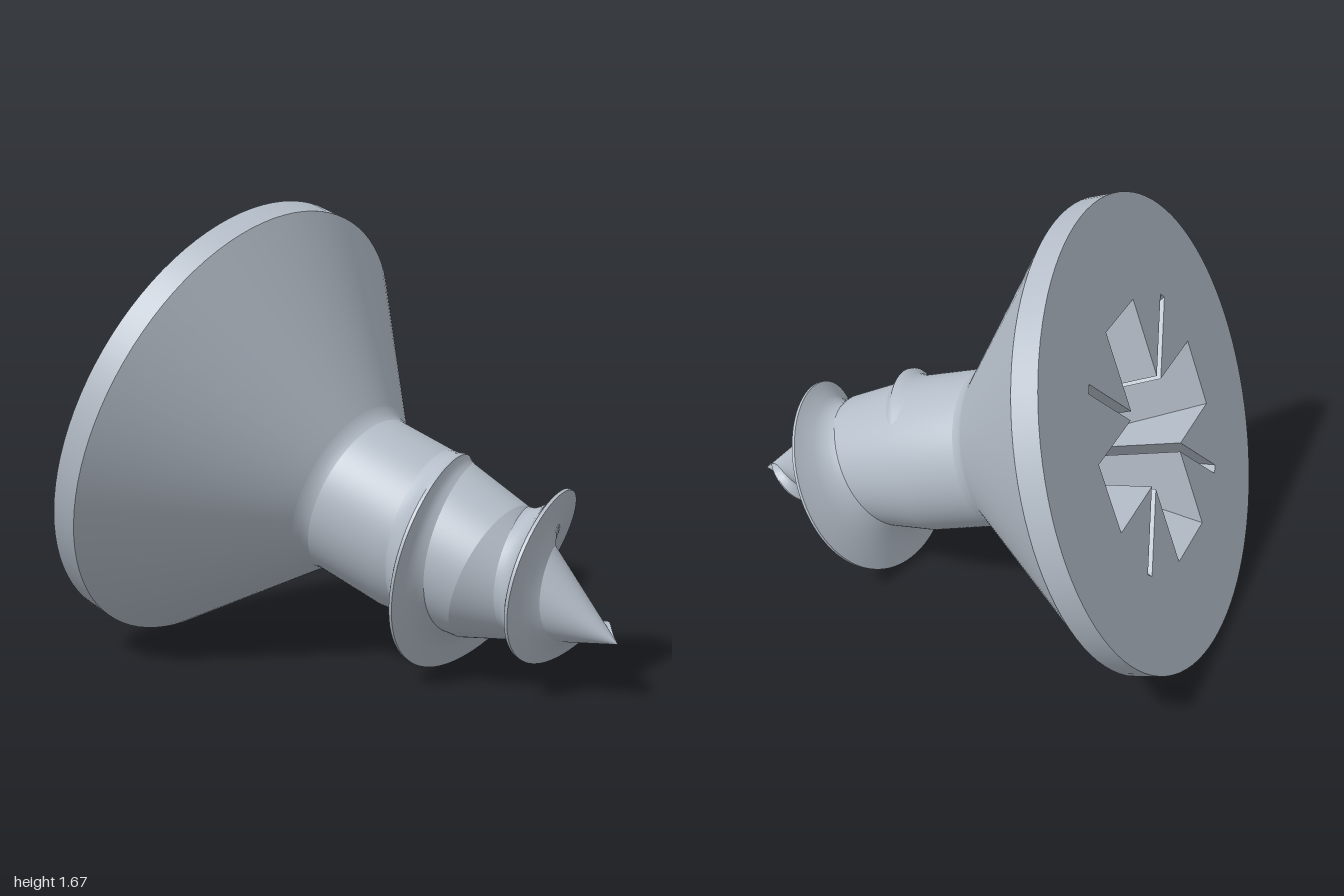
import * as THREE from 'three';
import { toCreasedNormals } from 'three/addons/utils/BufferGeometryUtils.js';

// Local frame: +z points out of the head face, the screw runs along -z.
const steel = new THREE.MeshStandardMaterial({ color: 0xb4bdc8 });
steel.name = 'steel';

const HEAD_R = 0.877, SHANK_R = 0.305, LENGTH = 1.797, TAPER = 0.97, POINT = 1.28, POINT_R = 0.26;

// Turned part from [radius, distance from head face] pairs
function turned(name, profile) {
  const geo = new THREE.LatheGeometry(profile.map(([r, t]) => new THREE.Vector2(r, t)), 96);
  geo.rotateX(-Math.PI / 2);
  const mesh = new THREE.Mesh(geo, steel);
  mesh.name = name;
  return mesh;
}

// Builds a mesh from equal cross-section rows
function loft(name, rows, closed, crease) {
  const n = rows[0].length, index = [];
  for (let i = 0; i < rows.length - 1; i++) {
    for (let j = 0; j < (closed ? n : n - 1); j++) {
      const k = (j + 1) % n, a = i * n + j, b = a + n, c = i * n + k, d = c + n;
      index.push(a, b, c, b, d, c);
    }
  }
  const geo = new THREE.BufferGeometry();
  geo.setAttribute('position', new THREE.Float32BufferAttribute(rows.flat(2), 3));
  geo.setIndex(index);
  const mesh = new THREE.Mesh(toCreasedNormals(geo, crease), steel);
  mesh.name = name;
  return mesh;
}

// Cross outline with a thin slit in every inner corner (counter-clockwise)
function recessOutline(arm, half, slit) {
  const h = 0.012, pts = [];
  const quarter = [[arm, -half], [arm, half], [half + 2 * h, half],
    [slit + h, slit - h], [slit - h, slit + h], [half, half + 2 * h]];
  for (let q = 0; q < 4; q++) {
    const c = Math.round(Math.cos(q * Math.PI / 2)), s = Math.round(Math.sin(q * Math.PI / 2));
    for (const [x, y] of quarter) pts.push(new THREE.Vector2(c * x - s * y, s * x + c * y));
  }
  return pts;
}

// Core radius of the shank at distance t
function coreRadius(t) {
  if (t < TAPER) return SHANK_R;
  if (t < POINT) return THREE.MathUtils.mapLinear(t, TAPER, POINT, SHANK_R, POINT_R);
  return Math.max(0, THREE.MathUtils.mapLinear(t, POINT, LENGTH, POINT_R, 0));
}

function createThread() {
  // Rim radius at every quarter turn, starting a quarter before the top
  const radii = [0.285, 0.326, 0.375, 0.437, 0.445, 0.348, 0.262, 0.18, 0.09, 0.008];
  const curve = new THREE.SplineCurve(radii.map((r, i) => new THREE.Vector2(i, r)));
  const steps = 180, turns = (radii.length - 1) / 4, rows = [];
  for (let i = 0; i <= steps; i++) {
    const u = -0.25 + turns * i / steps, t = 1.007 + 0.39 * u;
    const rim = curve.getPoint(i / steps).y;
    const fade = Math.min(1, (2.1 - u) / 0.8), a = 2 * Math.PI * u;
    // [offset along the axis, share of the height from core to rim]
    const section = [[-0.1, 0], [-0.07, 0.15], [-0.035, 0.5], [-0.006, 1],
      [0.006, 1], [0.018, 0.5], [0.035, 0.18], [0.065, 0]];
    rows.push(section.map(([offset, share]) => {
      const at = Math.min(t + offset * fade, LENGTH);
      const r = Math.max(0, THREE.MathUtils.lerp(coreRadius(at) - 0.004, rim, share));
      return [r * Math.sin(a), r * Math.cos(a), -at];
    }));
  }
  return loft('thread', rows, false, 0.75);
}

export function createModel() {
  const screw = new THREE.Group();
  screw.name = 'screw';

  // Countersunk head and shank
  screw.add(turned('headRim', [[HEAD_R, 0], [HEAD_R, 0.1]]));
  screw.add(turned('headCone', [[HEAD_R, 0.1], [0.335, 0.632]]));
  screw.add(turned('neckFillet', [[0.335, 0.632], [0.314, 0.655], [SHANK_R, 0.685]]));
  screw.add(turned('shank', [[SHANK_R, 0.685], [SHANK_R, TAPER], [POINT_R, POINT]]));
  screw.add(turned('point', [[POINT_R, POINT], [0, LENGTH]]));
  screw.add(createThread());

  // Head face with the recess cut out
  const top = recessOutline(0.472, 0.136, 0.375);
  const bottom = recessOutline(0.21, 0.1, 0.14);
  const depth = 0.48;
  const disc = new THREE.Shape().absarc(0, 0, HEAD_R, 0, Math.PI * 2);
  disc.holes.push(new THREE.Path(top));
  const face = new THREE.Mesh(new THREE.ShapeGeometry(disc, 48), steel);
  face.name = 'headFace';
  screw.add(face);

  // Tapered recess walls and floor
  const ring = (pts, z) => pts.map((p) => [p.x, p.y, z]);
  screw.add(loft('recessWalls', [ring(bottom, -depth), ring(top, 0)], true, 0.2));
  const floor = new THREE.Mesh(new THREE.ShapeGeometry(new THREE.Shape(bottom)), steel);
  floor.name = 'recessFloor';
  floor.position.z = -depth;
  screw.add(floor);

  // Lay the screw down on its head rim and thread
  const axis = new THREE.Vector3(1.64, -0.655, 0.341).normalize();
  const up = new THREE.Vector3(0.345, 0.93, 0.128);
  up.addScaledVector(axis, -up.dot(axis)).normalize();
  const side = new THREE.Vector3().crossVectors(axis, up);
  screw.quaternion.setFromRotationMatrix(
    new THREE.Matrix4().makeBasis(side, up, axis.clone().negate()));
  screw.position.set(-0.64, 0.853, -0.006);

  const model = new THREE.Group();
  model.name = 'model';
  model.add(screw);
  return model;
}
